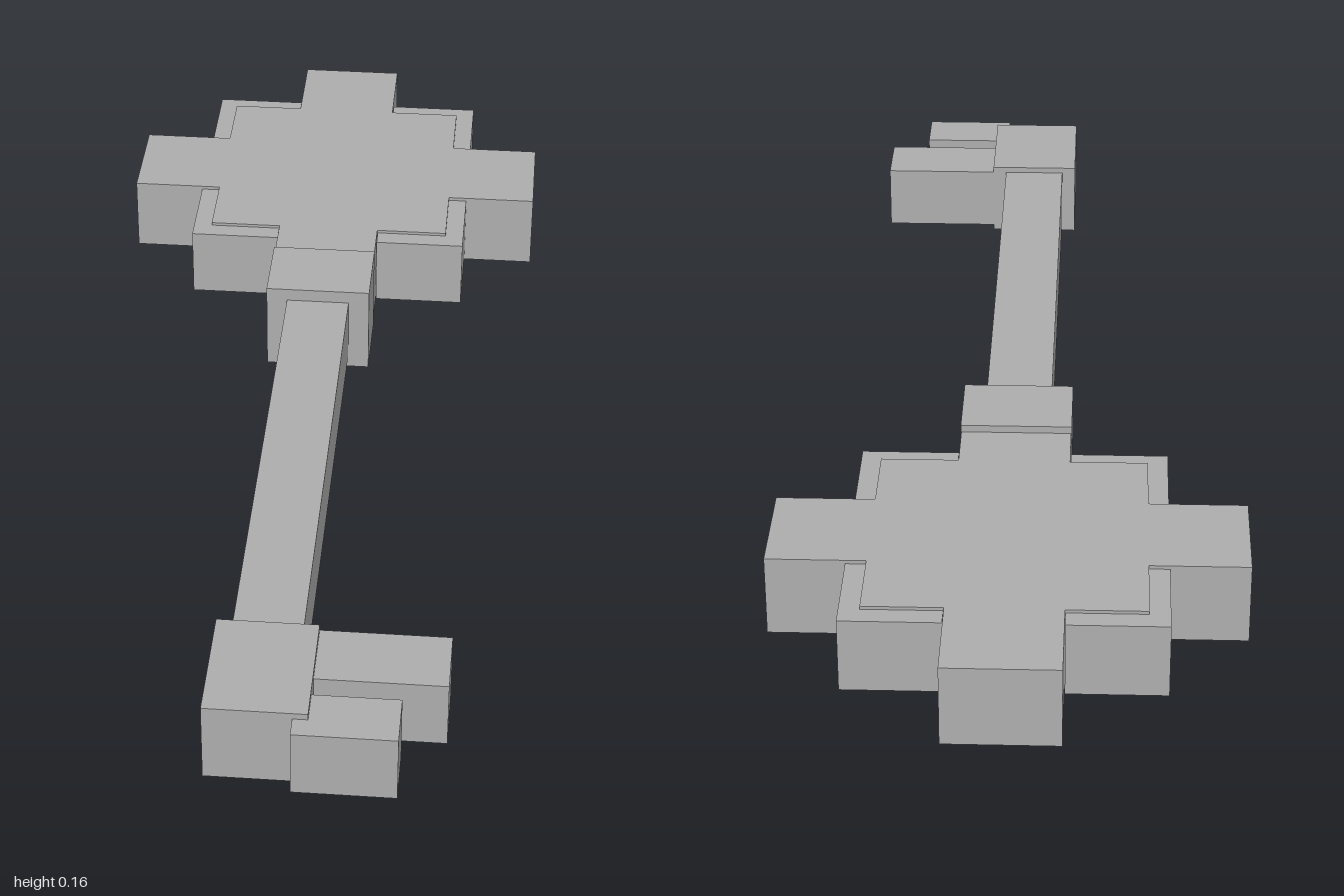
import * as THREE from 'three';

export function createModel() {
  const key = new THREE.Group();
  key.name = 'key';
  const grey = new THREE.MeshStandardMaterial({ color: 0xb0b0b0 });
  grey.name = 'plain grey';

  const MID = 0.083; // mid height shared by every part
  const HEAD_Z = -0.61;

  function add(name, geometry) {
    const mesh = new THREE.Mesh(geometry, grey);
    mesh.name = name;
    key.add(mesh);
    return mesh;
  }

  // box given by its x and z ranges, centred on the mid height
  function block(name, x0, x1, z0, z1, height) {
    add(name, new THREE.BoxGeometry(x1 - x0, height, z1 - z0))
      .position.set((x0 + x1) / 2, MID, (z0 + z1) / 2);
  }

  // flat stepped cross: four arms round a square core
  function cross(arm, core, reach, height) {
    const quarter = [[reach, -arm], [reach, arm], [core, arm], [core, core], [arm, core]];
    const points = [];
    for (let i = 0; i < 4; i++) {
      for (const [x, y] of quarter) {
        points.push(new THREE.Vector2(x, y).rotateAround(new THREE.Vector2(), i * Math.PI / 2));
      }
    }
    return new THREE.ExtrudeGeometry(new THREE.Shape(points), { depth: height, bevelEnabled: false })
      .translate(0, 0, -height / 2)
      .rotateX(-Math.PI / 2);
  }

  // head: thick stepped cross with slightly thinner corner blocks
  add('headCross', cross(0.092, 0.22, 0.38, 0.137)).position.set(0, MID, HEAD_Z);
  for (const sx of [-1, 1]) {
    for (const sz of [-1, 1]) {
      const corner = add('headCorner', new THREE.BoxGeometry(0.16, 0.126, 0.16));
      corner.position.set(sx * 0.173, MID, HEAD_Z + sz * 0.173);
    }
  }

  // collar and shaft
  block('collar', -0.093, 0.093, -0.297, -0.157, 0.162);
  block('shaft', -0.056, 0.056, -0.2, 0.8, 0.116);

  // tip with two teeth on the left
  block('tip', -0.081, 0.081, 0.757, 0.965, 0.137);
  block('longTooth', 0.057, 0.288, 0.757, 0.872, 0.116);
  block('shortTooth', 0.057, 0.219, 0.908, 1.0, 0.116);

  return key;
}
